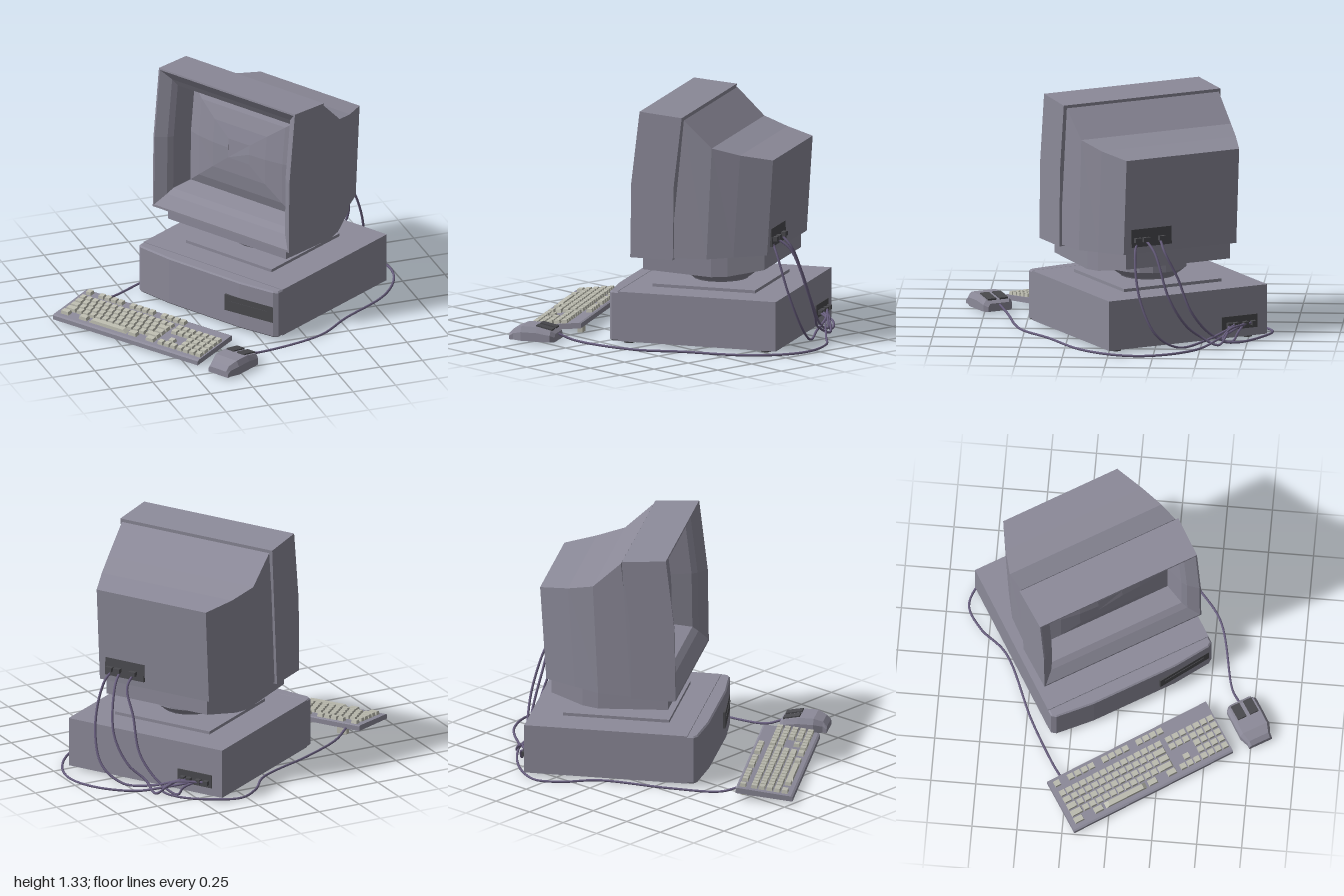
import * as THREE from 'three';

const paint = (color, flat = true) =>
  new THREE.MeshStandardMaterial({ color, flatShading: flat, side: THREE.DoubleSide });
const BODY = paint(0x8c8a99), DARK = paint(0x4a4a4e), KEY = paint(0xbcbcb0), CABLE = paint(0x6a6080, false);

function add(parent, name, geo, mat, x = 0, y = 0, z = 0) {
  const m = new THREE.Mesh(geo, mat);
  m.name = name;
  m.position.set(x, y, z);
  parent.add(m);
  return m;
}
const box = (p, name, w, h, d, x, y, z, mat = BODY) => add(p, name, new THREE.BoxGeometry(w, h, d), mat, x, y, z);

// Skins cross-sections running from back to front, each counter-clockwise seen from the front
function loft(rings, capBack = true, capFront = true) {
  const n = rings[0].length, index = [];
  for (let r = 0; r < rings.length - 1; r++)
    for (let i = 0; i < n; i++) {
      const a = r * n + i, b = r * n + (i + 1) % n;
      index.push(a, b, b + n, a, b + n, a + n);
    }
  const last = (rings.length - 1) * n;
  for (let i = 1; i < n - 1; i++) {
    if (capBack) index.push(0, i + 1, i);
    if (capFront) index.push(last, last + i, last + i + 1);
  }
  const g = new THREE.BufferGeometry();
  g.setAttribute('position', new THREE.Float32BufferAttribute(rings.flat(2), 3));
  g.setIndex(index);
  const flat = g.toNonIndexed();
  flat.computeVertexNormals();
  return flat;
}

// Rectangle section: half width, bottom, top, depth at bottom, depth at top
const rect = (h, y0, y1, z0, z1 = z0) => [[-h, y0, z0], [h, y0, z0], [h, y1, z1], [-h, y1, z1]];

// Section that follows the kinked, leaning front of the monitor
const lean = y => (y < 0.92 ? 0.37 - 0.015 * (y - 0.5) : 0.364 - 0.12 * (y - 0.92));
function bezelRing(h, y0, y1, dz) {
  return [[-h, y0], [h, y0], [h, 0.92], [h, y1], [-h, y1], [-h, 0.92]].map(([x, y]) => [x, y, lean(y) + dz]);
}

// Extrudes a plan outline of [x, z] points upward
function slab(points, h, bevel = 0) {
  const g = new THREE.ExtrudeGeometry(new THREE.Shape(points.map(([x, z]) => new THREE.Vector2(x, -z))), {
    depth: h - 2 * bevel, bevelEnabled: bevel > 0, bevelSize: bevel, bevelThickness: bevel, bevelOffset: -bevel, bevelSegments: 1,
  });
  return g.rotateX(-Math.PI / 2).translate(0, bevel, 0);
}

// Extrudes a side profile of [z, y] points across the width
function wedge(points, w) {
  const g = new THREE.ExtrudeGeometry(new THREE.Shape(points.map(([z, y]) => new THREE.Vector2(-z, y))), { depth: w, bevelEnabled: false });
  return g.translate(0, 0, -w / 2).rotateY(Math.PI / 2);
}

function buildCase() {
  const g = new THREE.Group();
  g.name = 'computerCase';
  box(g, 'caseShell', 0.99, 0.28, 0.92, 0, 0.16, -0.022);
  const half = [[0.495, 0.435], [0.495, 0.475], [0.47, 0.493], [0.25, 0.515]];
  const front = [...half, ...half.map(([x, z]) => [-x, z]).reverse()];
  add(g, 'frontPanel', slab(front, 0.28, 0.008), BODY, 0, 0.02, 0);
  box(g, 'driveBay', 0.32, 0.095, 0.04, 0.31, 0.157, 0.491, DARK).rotation.y = 0.11;
  box(g, 'driveSlot', 0.25, 0.012, 0.04, 0.31, 0.165, 0.494, DARK).rotation.y = 0.11;
  for (const x of [-0.41, 0.41])
    for (const z of [-0.4, 0.4])
      add(g, 'foot', new THREE.CylinderGeometry(0.03, 0.03, 0.025, 12), DARK, x, 0.0125, z);
  box(g, 'rearPorts', 0.22, 0.075, 0.012, -0.32, 0.103, -0.482, DARK);
  for (const x of [-0.4, -0.35, -0.29, -0.25]) box(g, 'plug', 0.028, 0.025, 0.035, x, 0.095, -0.495, DARK);
  return g;
}

function buildMonitor() {
  const g = new THREE.Group();
  g.name = 'monitor';
  // Swivel stand
  box(g, 'standPlate', 0.61, 0.02, 0.6, 0, 0.307, 0);
  const profile = [[0.15, 0.31], [0.16, 0.325], [0.215, 0.365], [0.215, 0.41]].map(p => new THREE.Vector2(...p));
  add(g, 'swivelBase', new THREE.LatheGeometry(profile, 18), BODY);
  // Housing
  add(g, 'lowerHousing', loft([
    rect(0.325, 0.44, 0.55, -0.36), rect(0.4, 0.405, 0.55, -0.17), rect(0.42, 0.4, 0.55, -0.08),
    rect(0.42, 0.42, 0.52, 0.315),
  ]), BODY);
  add(g, 'rearHousing', loft([
    rect(0.352, 0.53, 1.07, -0.385, -0.42), rect(0.42, 0.52, 1.1, -0.21, -0.25),
    rect(0.468, 0.51, 1.14, -0.07, -0.1), rect(0.475, 0.505, 1.29, 0.14, 0.06),
  ]), BODY);
  // Bezel with its funnel-shaped opening
  add(g, 'bezel', loft([
    bezelRing(0.49, 0.497, 1.305, -0.25), bezelRing(0.484, 0.497, 1.325, 0), bezelRing(0.475, 0.51, 1.315, 0),
    bezelRing(0.42, 0.575, 1.26, -0.045), bezelRing(0.4, 0.605, 1.22, -0.075), bezelRing(0.37, 0.625, 1.19, -0.19),
  ], true, false), BODY);
  const glass = [[1, -0.19], [0.8, -0.17], [0.5, -0.155], [0.2, -0.15]].map(([s, dz]) =>
    bezelRing(0.37 * s, 0.92 - 0.295 * s, 0.92 + 0.27 * s, dz));
  add(g, 'screen', loft(glass, false), BODY);
  // Rear connectors
  const panel = new THREE.Group();
  panel.name = 'monitorPorts';
  panel.position.set(0.185, 0.62, -0.392);
  panel.rotation.x = 0.07;
  box(panel, 'portPanel', 0.25, 0.1, 0.014, 0, 0, 0, DARK);
  for (const x of [-0.06, 0.04, 0.09]) box(panel, 'plug', 0.04, 0.025, 0.035, x, -0.01, -0.015, DARK);
  g.add(panel);
  return g;
}

function buildKeyboard() {
  const g = new THREE.Group();
  g.name = 'keyboard';
  add(g, 'keyboardBody', wedge([[0.16, 0.012], [0.16, 0.036], [0.15, 0.042], [-0.15, 0.076], [-0.16, 0.072], [-0.16, 0.045]], 1), BODY);
  for (const x of [-0.38, 0.38]) box(g, 'keyboardFoot', 0.06, 0.04, 0.03, x, 0.022, -0.13, KEY);
  // Keycaps sit on the sloped deck
  const deck = new THREE.Group();
  deck.name = 'keys';
  deck.position.y = 0.06;
  deck.rotation.x = Math.atan(0.034 / 0.3);
  g.add(deck);
  const key = (x, z, w = 0.036) => {
    const cap = new THREE.CylinderGeometry(0.58, Math.SQRT1_2, 1, 4).rotateY(Math.PI / 4).scale(w, 0.02, 0.036);
    add(deck, 'key', cap, KEY, x, 0.008, z);
  };
  const pitch = 0.043, rowZ = r => -0.062 + r * pitch;
  // Function row
  for (let i = 0; i < 16; i++) if (i !== 1 && i !== 6 && i !== 11) key(-0.455 + i * pitch, -0.125);
  // Main block, staggered, with wide keys at the row ends
  for (let r = 0; r < 4; r++) {
    const first = 0.04 + r * 0.012;
    key(-0.474 + first / 2, rowZ(r), first - 0.007);
    const count = 14 - Math.ceil(r / 2) - 1;
    for (let i = 0; i < count; i++) key(-0.474 + first + (i + 0.5) * pitch, rowZ(r));
    const start = -0.474 + first + count * pitch, end = 0.17;
    key((start + end) / 2, rowZ(r), end - start - 0.007);
  }
  for (const x of [-0.445, -0.32, 0.02, 0.14]) key(x, rowZ(4), 0.055);
  key(-0.15, rowZ(4), 0.26);
  // Navigation cluster, arrows and number pad
  for (let c = 0; c < 3; c++) {
    for (const r of [0, 1, 4]) key(0.213 + c * pitch, rowZ(r));
    if (c === 1) key(0.213 + c * pitch, rowZ(3));
  }
  for (let c = 0; c < 4; c++)
    for (let r = 0; r < 5; r++) key(0.345 + c * pitch, rowZ(r));
  return g;
}

function buildMouse() {
  const g = new THREE.Group();
  g.name = 'mouse';
  const side = [[-0.133, 0.045], [-0.11, 0.07], [-0.06, 0.09], [0.03, 0.09], [0.11, 0.073], [0.133, 0.055]];
  const taper = z => (z < -0.1 ? 0.07 : z > 0.12 ? 0.07 : 0.09);
  add(g, 'mouseBody', loft(side.map(([z, y]) => {
    const h = taper(z);
    return [[-h, 0.01, z], [h, 0.01, z], [h, y * 0.65, z], [h * 0.82, y, z], [-h * 0.82, y, z], [-h, y * 0.65, z]];
  })), BODY);
  for (const x of [-0.037, 0.037])
    box(g, 'mouseButton', 0.052, 0.012, 0.095, x, 0.083, 0.068, DARK).rotation.x = 0.2;
  return g;
}

function cable(parent, name, points) {
  const path = new THREE.CatmullRomCurve3(points.map(p => new THREE.Vector3(...p)));
  add(parent, name, new THREE.TubeGeometry(path, 70, 0.007, 6), CABLE);
}

export function createModel() {
  const root = new THREE.Group();
  root.name = 'desktopComputer';
  const place = (part, x, z, degrees) => {
    part.position.set(x, 0, z);
    part.rotation.y = THREE.MathUtils.degToRad(degrees);
    root.add(part);
  };
  place(buildCase(), 0.24, -0.18, -59);
  place(buildMonitor(), 0.24, -0.18, -59);
  place(buildKeyboard(), -0.59, 0.15, -56.8);
  place(buildMouse(), -0.27, 0.735, 121);

  // Cables along the ground and down from the monitor
  cable(root, 'keyboardCable', [[-0.69, 0.05, -0.28], [-0.6, 0.015, -0.335], [-0.35, 0.01, -0.475], [0.03, 0.01, -0.65],
    [0.16, 0.01, -0.8], [0.29, 0.01, -0.877], [0.43, 0.01, -0.83], [0.59, 0.01, -0.7], [0.65, 0.03, -0.62], [0.6, 0.08, -0.65], [0.46, 0.095, -0.77]]);
  cable(root, 'mouseCable', [[-0.16, 0.045, 0.665], [-0.08, 0.015, 0.62], [0.32, 0.01, 0.52], [0.53, 0.01, 0.36], [0.83, 0.01, 0.16],
    [0.96, 0.01, -0.03], [0.985, 0.01, -0.19], [0.91, 0.01, -0.37], [0.75, 0.01, -0.51], [0.64, 0.04, -0.6], [0.49, 0.095, -0.73]]);
  cable(root, 'videoCable', [[0.7, 0.61, -0.15], [0.76, 0.53, -0.14], [0.83, 0.3, -0.17], [0.84, 0.1, -0.26],
    [0.77, 0.015, -0.38], [0.66, 0.03, -0.52], [0.6, 0.08, -0.64], [0.52, 0.095, -0.68]]);
  cable(root, 'powerCable', [[0.68, 0.61, -0.19], [0.75, 0.54, -0.25], [0.8, 0.3, -0.33], [0.76, 0.14, -0.42],
    [0.69, 0.06, -0.5], [0.68, 0.012, -0.6], [0.63, 0.06, -0.64], [0.54, 0.095, -0.65]]);
  cable(root, 'signalCable', [[0.64, 0.61, -0.27], [0.7, 0.54, -0.3], [0.7, 0.4, -0.37], [0.7, 0.2, -0.45],
    [0.64, 0.06, -0.56], [0.58, 0.012, -0.67], [0.56, 0.06, -0.7], [0.49, 0.095, -0.73]]);
  return root;
}
